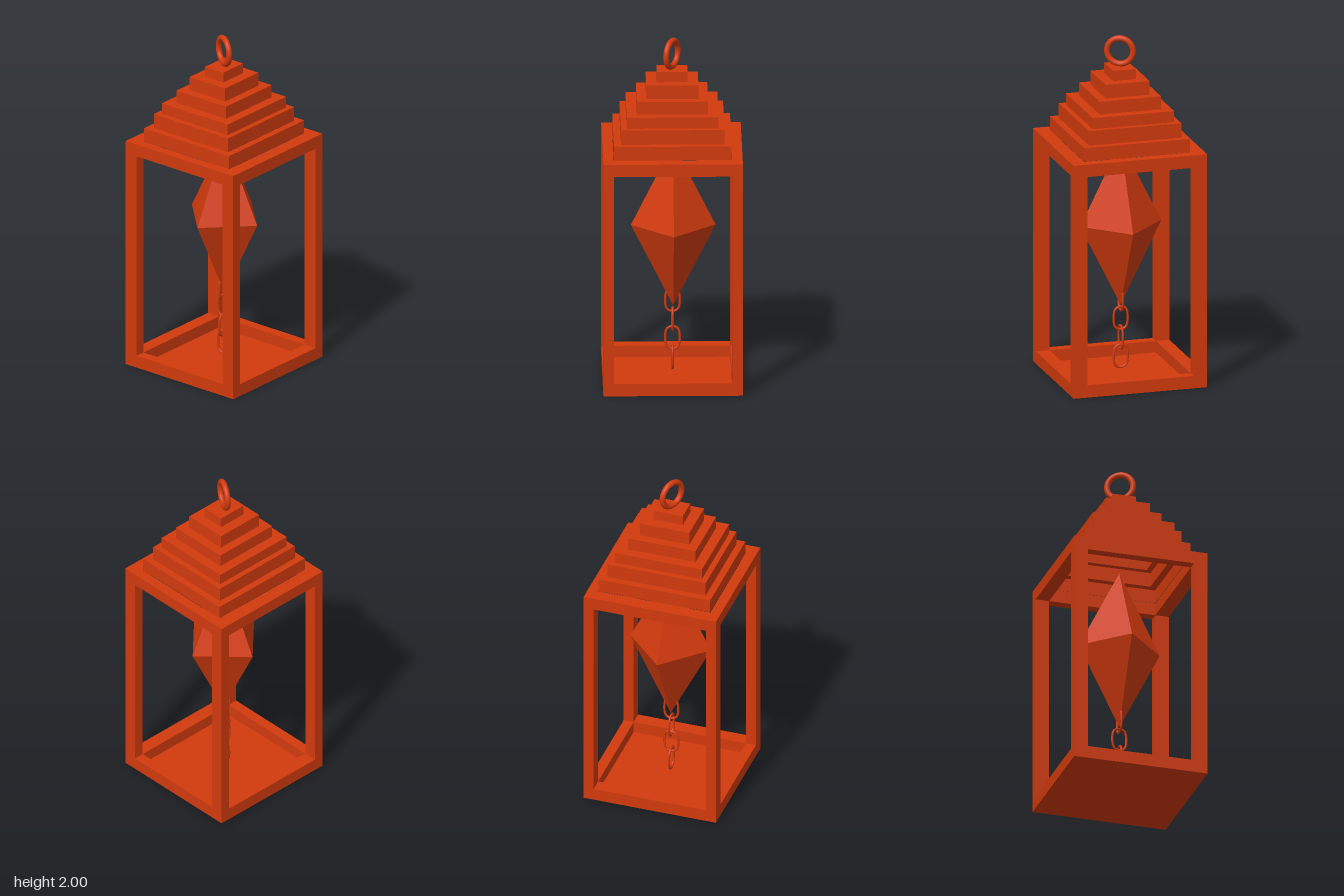
import * as THREE from 'three';

const flat = new THREE.MeshStandardMaterial({ color: 0xd23a0d, flatShading: true, side: THREE.DoubleSide });
const smooth = new THREE.MeshStandardMaterial({ color: 0xd23a0d });

const OUT = 0.395;                 // outer half width of the frame
const IN_X = 0.335, IN_Z = 0.315;  // half size of the frame opening
const RIM = 0.073, TOP = 1.375;

function part(parent, name, geometry, material, x = 0, y = 0, z = 0) {
  const mesh = new THREE.Mesh(geometry, material);
  mesh.name = name;
  mesh.position.set(x, y, z);
  parent.add(mesh);
  return mesh;
}

const rectangle = (hx, hz) => [[-hx, -hz], [hx, -hz], [hx, hz], [-hx, hz]];

// Square frame lying flat, with a rectangular opening
function rimGeometry() {
  const points = (hx, hz) => rectangle(hx, hz).map(([x, z]) => new THREE.Vector2(x, z));
  const shape = new THREE.Shape(points(OUT, OUT));
  shape.holes.push(new THREE.Path(points(IN_X, IN_Z).reverse()));
  return new THREE.ExtrudeGeometry(shape, { depth: RIM, bevelEnabled: false }).rotateX(-Math.PI / 2);
}

// Thin stepped shell: rectangles joined upward, closed at the top
function roofGeometry() {
  const steps = [[0.333, 0.313], [0.293, 0.273], [0.26, 0.241], [0.202, 0.182], [0.148, 0.13], [0.087, 0.067]];
  const heights = [TOP, 1.455, 1.54, 1.605, 1.68, 1.76, 1.82];
  const positions = [], index = [];
  steps.forEach(([hx, hz], i) => {
    for (const y of [heights[i], heights[i + 1]])
      for (const [x, z] of rectangle(hx, hz)) positions.push(x, y, z);
  });
  const rings = steps.length * 2;
  for (let r = 0; r < rings - 1; r++) {
    for (let k = 0; k < 4; k++) {
      const a = r * 4 + k, b = r * 4 + (k + 1) % 4;
      index.push(a, a + 4, b, b, a + 4, b + 4);
    }
  }
  const c = (rings - 1) * 4;
  index.push(c, c + 2, c + 1, c, c + 3, c + 2);
  const geometry = new THREE.BufferGeometry();
  geometry.setAttribute('position', new THREE.Float32BufferAttribute(positions, 3));
  geometry.setIndex(index);
  const faceted = geometry.toNonIndexed();
  faceted.computeVertexNormals();
  return faceted;
}

// Oblong chain link with cut corners
function linkGeometry() {
  const w = 0.036, h = 0.064, c = 0.02;
  const points = [[w, h - c], [w - c, h], [c - w, h], [-w, h - c], [-w, c - h], [c - w, -h], [w - c, -h], [w, c - h]]
    .map(([x, y]) => new THREE.Vector3(x, y, 0));
  return new THREE.TubeGeometry(new THREE.CatmullRomCurve3(points, true), 32, 0.007, 8, true);
}

export function createModel() {
  const lantern = new THREE.Group();
  lantern.name = 'lantern';

  // Frame: two rims, four posts and a thin floor
  const frame = new THREE.Group();
  frame.name = 'frame';
  lantern.add(frame);
  part(frame, 'baseRim', rimGeometry(), flat);
  part(frame, 'topRim', rimGeometry(), flat, 0, TOP - RIM, 0);
  const postHeight = TOP - 2 * RIM;
  const post = new THREE.BoxGeometry(OUT - IN_X, postHeight, OUT - IN_Z);
  for (const sx of [-1, 1])
    for (const sz of [-1, 1])
      part(frame, 'post', post, flat, sx * (OUT + IN_X) / 2, TOP / 2, sz * (OUT + IN_Z) / 2);
  part(frame, 'floor', new THREE.BoxGeometry(2 * IN_X, 0.005, 2 * IN_Z), flat, 0, 0.0025, 0);

  part(lantern, 'steppedRoof', roofGeometry(), flat);

  // Hanging ring, turned diagonally
  const ring = part(lantern, 'hangingRing', new THREE.TorusGeometry(0.075, 0.017, 16, 48), smooth, 0, 1.908, 0);
  ring.rotation.y = THREE.MathUtils.degToRad(63);

  // Faceted crystal hung from the roof
  part(lantern, 'crystal', new THREE.OctahedronGeometry(0.24).scale(1, 2, 1), flat, 0.007, 0.892, -0.002);

  // Chain below the crystal, every second link turned
  const chain = new THREE.Group();
  chain.name = 'chain';
  lantern.add(chain);
  const link = linkGeometry();
  for (let i = 0; i < 4; i++) {
    const mesh = part(chain, 'chainLink', link, smooth, 0.003, 0.109 + i * 0.112, -0.003);
    mesh.rotation.y = i % 2 ? 0 : Math.PI / 2;
  }
  return lantern;
}
